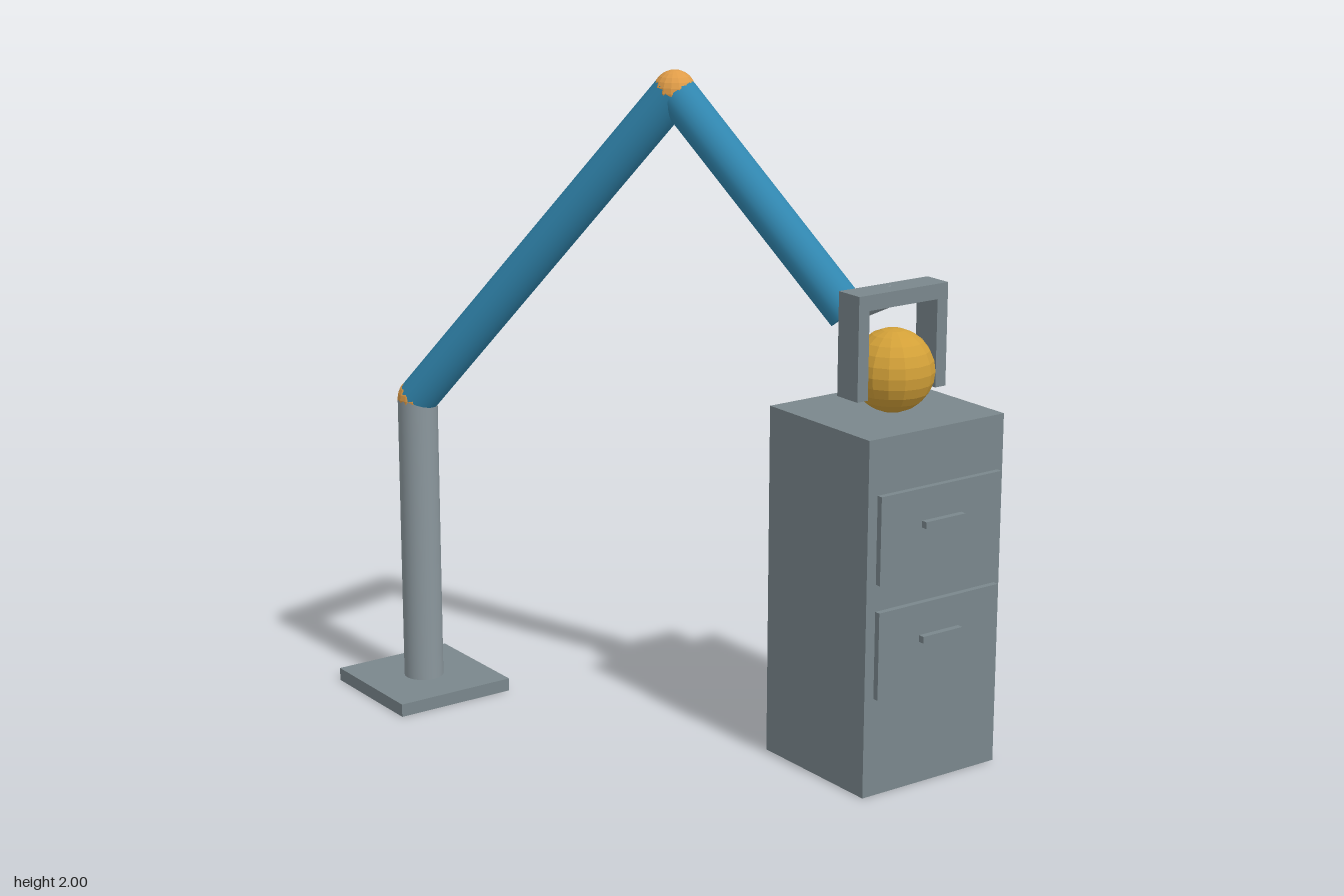
import * as THREE from 'three';

export function createModel() {
  const root = new THREE.Group();
  const mat = (name, color) => {
    const m = new THREE.MeshStandardMaterial({ color });
    m.name = name;
    return m;
  };
  const steel = mat('steel grey', 0x7a878c);
  const paleSteel = mat('pale steel', 0x8b979d);
  const blue = mat('arm blue', 0x3187b0);
  const orange = mat('joint orange', 0xdf9c48);
  const gold = mat('ball gold', 0xd2a038);

  const add = (name, geometry, material, x, y, z, parent = root) => {
    const mesh = new THREE.Mesh(geometry, material);
    mesh.name = name;
    mesh.position.set(x, y, z);
    parent.add(mesh);
    return mesh;
  };
  const box = (name, w, h, d, material, x, y, z, parent) =>
    add(name, new THREE.BoxGeometry(w, h, d), material, x, y, z, parent);

  // Faceted ball
  const ball = (name, r, material, p, w, h) => {
    const g = new THREE.SphereGeometry(r, w, h).toNonIndexed();
    g.computeVertexNormals();
    return add(name, g, material, p.x, p.y, p.z);
  };

  // Round bar between two points
  const up = new THREE.Vector3(0, 1, 0);
  const rod = (name, a, b, r, material) => {
    const dir = b.clone().sub(a);
    const mid = a.clone().add(b).multiplyScalar(0.5);
    const mesh = add(name, new THREE.CylinderGeometry(r, r, dir.length(), 24), material, mid.x, mid.y, mid.z);
    mesh.quaternion.setFromUnitVectors(up, dir.normalize());
    return mesh;
  };

  const foot = new THREE.Vector3(-0.432, 0.04, -0.672);
  const shoulder = new THREE.Vector3(-0.432, 0.94, -0.672);
  const elbow = new THREE.Vector3(0.018, 1.938, 0.05);
  const wrist = new THREE.Vector3(0.3, 1.335, 0.505);
  const grip = new THREE.Vector3(0.372, 1.401, 0.62);

  // Stand and jointed arm
  box('basePlate', 0.387, 0.04, 0.387, steel, foot.x, 0.02, foot.z);
  rod('post', foot, shoulder, 0.061, paleSteel);
  ball('shoulderJoint', 0.062, orange, shoulder, 16, 12);
  rod('upperArm', shoulder, elbow, 0.061, blue);
  ball('elbowJoint', 0.062, orange, elbow, 16, 12);
  rod('forearm', elbow, wrist, 0.06, blue);
  rod('wristRod', wrist, grip, 0.029, paleSteel);

  // Gripper with two fingers
  const gripper = new THREE.Group();
  gripper.name = 'gripper';
  gripper.position.set(0.373, 0, 0.618);
  root.add(gripper);
  box('gripperBar', 0.325, 0.045, 0.09, steel, 0, 1.402, 0, gripper);
  for (const s of [-1, 1]) {
    box(s > 0 ? 'leftFinger' : 'rightFinger', 0.038, 0.26, 0.09, steel, s * 0.1435, 1.25, 0, gripper);
  }

  // Held ball
  ball('heldBall', 0.122, gold, new THREE.Vector3(0.373, 1.182, 0.62), 16, 12);

  // Cabinet with two drawers
  const cabinet = new THREE.Group();
  cabinet.name = 'cabinet';
  cabinet.position.x = 0.373;
  root.add(cabinet);
  box('cabinetBody', 0.494, 1.06, 0.449, steel, 0, 0.53, 0.597, cabinet);
  for (const y of [0.43, 0.77]) {
    box('drawerFront', 0.442, 0.26, 0.018, steel, 0, y, 0.839, cabinet);
    box('drawerHandle', 0.145, 0.02, 0.02, steel, 0, y + 0.025, 0.857, cabinet);
  }
  return root;
}
